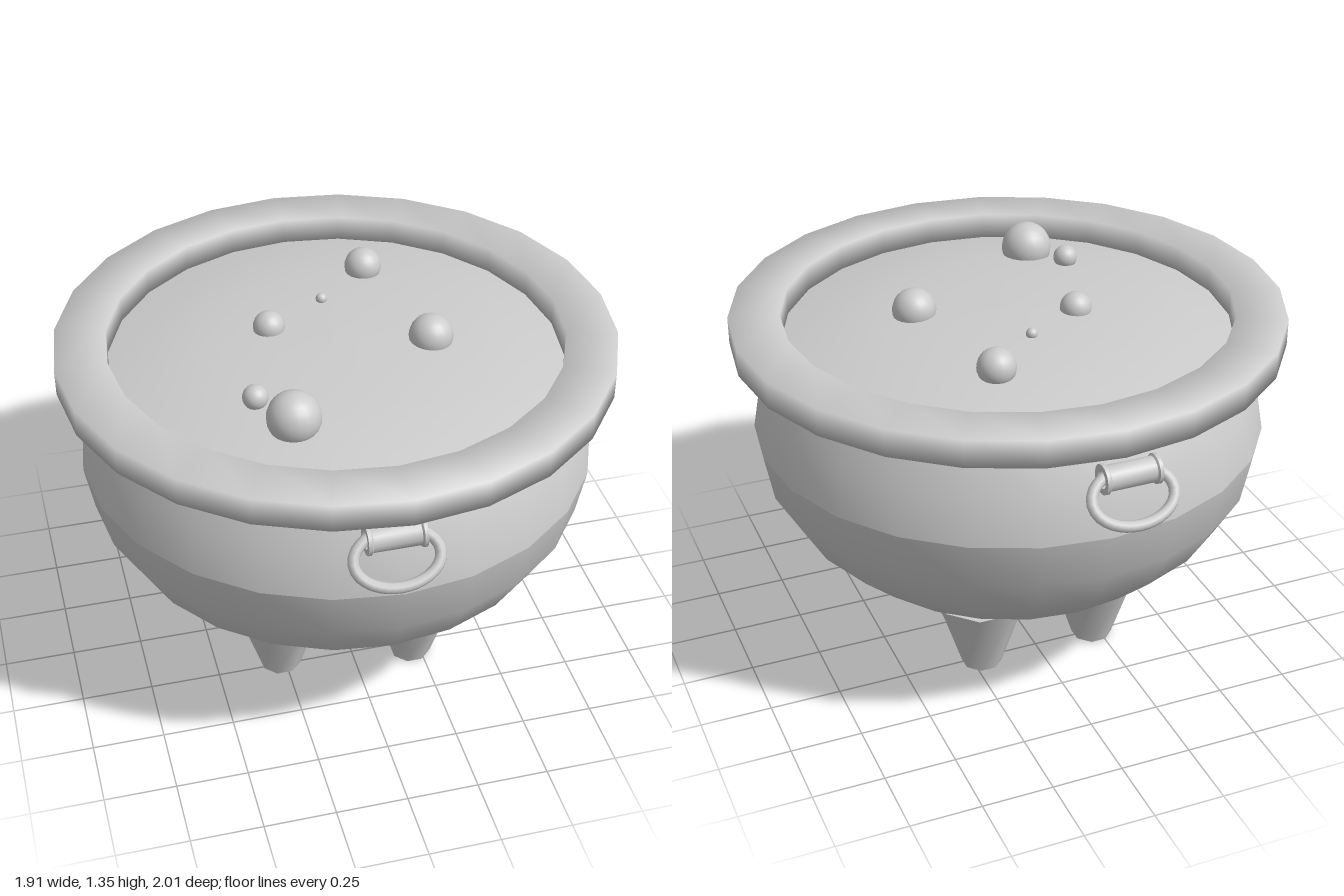
import * as THREE from 'three';
import { mergeVertices, toCreasedNormals } from 'three/addons/utils/BufferGeometryUtils.js';

const SIDES = 24;
const CENTRE_Z = 0.015;
const grey = new THREE.MeshStandardMaterial({ color: 0xcccccc });
const greyOpen = new THREE.MeshStandardMaterial({ color: 0xcccccc, side: THREE.DoubleSide });

function addMesh(parent, name, geometry, x = 0, y = 0, z = 0, material = grey) {
  const mesh = new THREE.Mesh(geometry, material);
  mesh.name = name;
  mesh.position.set(x, y, z);
  parent.add(mesh);
  return mesh;
}

function lathe(points, sides = SIDES) {
  return new THREE.LatheGeometry(points.map(([r, y]) => new THREE.Vector2(r, y)), sides);
}

// Normals averaged over every shared corner
function smooth(geometry) {
  geometry.deleteAttribute('uv');
  geometry.deleteAttribute('normal');
  const merged = mergeVertices(geometry, 1e-4);
  merged.computeVertexNormals();
  return merged;
}

// Profile points on the squashed sphere, from one latitude to another
function bowlProfile(fromDeg, toDeg) {
  const points = [];
  for (let a = fromDeg; a <= toDeg; a += 15) {
    const t = THREE.MathUtils.degToRad(a);
    points.push([Math.max(0, 0.895 * Math.cos(t)), 0.845 + 0.65 * Math.sin(t)]);
  }
  return points;
}

// Hollow lug with a tilted oval ring hanging through it
function makeHandle() {
  const handle = new THREE.Group();
  handle.name = 'handle';
  const lug = lathe([
    [0.03, -0.095], [0.05, -0.095], [0.05, -0.083], [0.043, -0.078],
    [0.043, 0.078], [0.05, 0.083], [0.05, 0.095], [0.03, 0.095], [0.03, -0.095],
  ], 16);
  lug.rotateZ(Math.PI / 2);
  addMesh(handle, 'handleLug', toCreasedNormals(lug, 0.6), 0, 1.085, 0.9, greyOpen);

  const ringPath = new THREE.CatmullRomCurve3(
    Array.from({ length: 16 }, (_, i) => {
      const a = (i / 16) * Math.PI * 2;
      return new THREE.Vector3(0.14 * Math.cos(a), 0.092 * Math.sin(a), 0);
    }), true);
  const ring = addMesh(handle, 'handleRing', new THREE.TubeGeometry(ringPath, 32, 0.019, 8, true), 0, 1.022, 0.932);
  ring.rotation.x = -0.63;
  return handle;
}

export function createModel() {
  const model = new THREE.Group();
  model.name = 'cauldron';

  // Bowl in two halves, leaving a crease around the widest line
  addMesh(model, 'lowerBowl', lathe(bowlProfile(-90, 0)), 0, 0, CENTRE_Z);
  addMesh(model, 'upperBowl', lathe(bowlProfile(0, 30)), 0, 0, CENTRE_Z, greyOpen);

  // Square-section rim with soft shading
  const rim = lathe([[0.78, 1.172], [0.956, 1.172], [0.956, 1.268], [0.78, 1.268], [0.78, 1.172]]);
  addMesh(model, 'rim', smooth(rim), 0, 0, CENTRE_Z);

  // Gently domed liquid
  addMesh(model, 'liquid', lathe([
    [0.785, 1.175], [0.633, 1.21], [0.4475, 1.237], [0.232, 1.25], [0, 1.255],
  ]), 0, 0, CENTRE_Z);

  // Bubbles: x, z, radius
  const bubbles = [
    [-0.25, 0.455, 0.09], [-0.345, 0.315, 0.043], [0.31, 0.105, 0.076],
    [-0.21, -0.085, 0.055], [0.205, -0.395, 0.066], [0.007, -0.215, 0.02],
  ];
  for (const [x, z, r] of bubbles) {
    addMesh(model, 'bubble', new THREE.SphereGeometry(r, 20, 14), x, 1.258, z);
  }

  // Stubby tapered feet
  for (const [x, z] of [[-0.265, 0.23], [0.215, 0.285], [-0.225, -0.25], [0.215, -0.26]]) {
    const foot = new THREE.CylinderGeometry(0.165, 0.073, 0.28, 8);
    foot.rotateY(Math.PI / 8);
    addMesh(model, 'foot', toCreasedNormals(foot, 0.9), x, 0.14, z);
  }

  // One handle in front and one behind
  const front = makeHandle();
  front.position.x = -0.04;
  const back = makeHandle();
  back.rotation.y = Math.PI;
  back.position.x = -0.035;
  model.add(front, back);

  return model;
}
